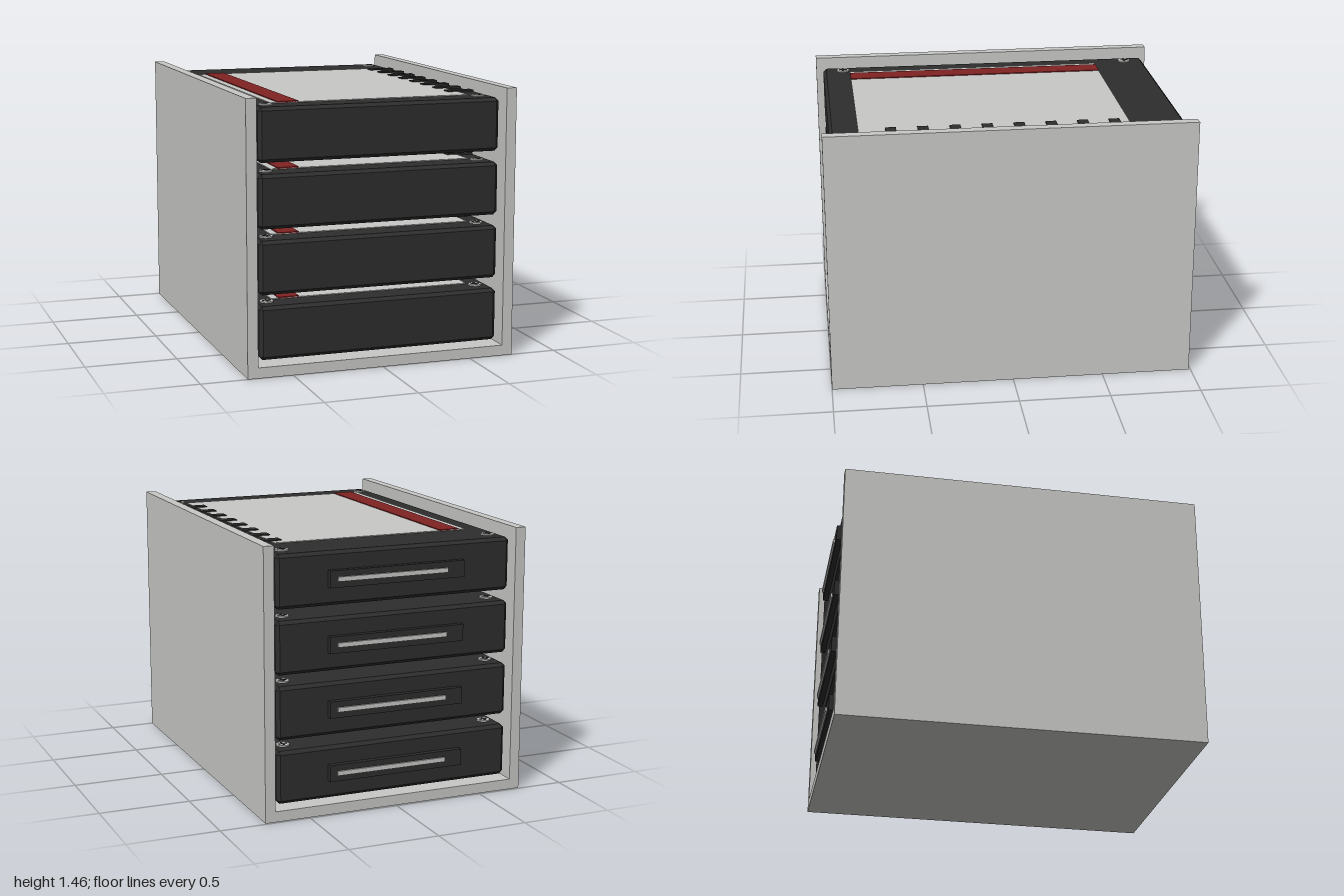
import * as THREE from 'three';

const material = (name, color) => {
  const m = new THREE.MeshStandardMaterial({ color });
  m.name = name;
  return m;
};

export function createModel() {
  const grey = material('light grey', 0xc8c8c6);
  const black = material('charcoal', 0x2d2d2d);
  const red = material('dark red', 0x802222);

  const add = (parent, name, geometry, mat, x, y, z) => {
    const mesh = new THREE.Mesh(geometry, mat);
    mesh.name = name;
    mesh.position.set(x, y, z);
    parent.add(mesh);
    return mesh;
  };
  // Box given by its minimum and maximum on each axis
  const box = (parent, name, mat, [x0, x1], [y0, y1], [z0, z1]) =>
    add(parent, name, new THREE.BoxGeometry(x1 - x0, y1 - y0, z1 - z0), mat,
      (x0 + x1) / 2, (y0 + y1) / 2, (z0 + z1) / 2);

  // Box with every edge cut at 45 degrees, centred on the origin
  const chamferedBox = (w, h, d, c) => {
    const a = w / 2 - c, b = h / 2 - c;
    const shape = new THREE.Shape();
    shape.moveTo(-a, -b);
    shape.lineTo(a, -b);
    shape.lineTo(a, b);
    shape.lineTo(-a, b);
    shape.closePath();
    const g = new THREE.ExtrudeGeometry(shape, { depth: d - 2 * c, bevelEnabled: false });
    g.dispose();
    // Each face is inset by c; corners join them with bevel strips and triangles
    const half = [w / 2, h / 2, d / 2], pos = [];
    const point = (s, full) => s.map((v, i) => v * (half[i] - (i === full ? 0 : c)));
    const tri = (p, q, r) => {
      const [A, B, C] = [p, q, r].map(v => new THREE.Vector3(...v));
      const n = B.clone().sub(A).cross(C.clone().sub(A));
      const out = n.dot(A.clone().add(B).add(C)) > 0;
      pos.push(...p, ...(out ? q : r), ...(out ? r : q));
    };
    const quad = (p, q, r, s) => { tri(p, q, r); tri(p, r, s); };
    for (let i = 0; i < 3; i++) {
      const j = (i + 1) % 3, k = (i + 2) % 3;
      const sign = (u, v, t) => { const s = []; s[i] = u; s[j] = v; s[k] = t; return s; };
      for (const u of [-1, 1]) {
        quad(...[[-1, -1], [1, -1], [1, 1], [-1, 1]].map(([v, t]) => point(sign(u, v, t), i)));
        for (const v of [-1, 1]) {
          const lo = sign(u, v, -1), hi = sign(u, v, 1);
          quad(point(lo, i), point(hi, i), point(hi, j), point(lo, j));
        }
      }
    }
    for (const x of [-1, 1]) for (const y of [-1, 1]) for (const z of [-1, 1])
      tri(...[0, 1, 2].map(i => point([x, y, z], i)));
    const geometry = new THREE.BufferGeometry();
    geometry.setAttribute('position', new THREE.Float32BufferAttribute(pos, 3));
    geometry.computeVertexNormals();
    return geometry;
  };

  const model = new THREE.Group();
  model.name = 'driveRack';

  // Open U-shaped case
  const caseGroup = new THREE.Group();
  caseGroup.name = 'case';
  model.add(caseGroup);
  const depth = [-0.99, 1];
  box(caseGroup, 'floor', grey, [-0.69, 0.69], [0, 0.057], depth);
  box(caseGroup, 'leftWall', grey, [0.69, 0.747], [0, 1.46], depth);
  box(caseGroup, 'rightWall', grey, [-0.747, -0.69], [0, 1.46], depth);

  const bodyGeometry = chamferedBox(1.336, 0.286, 1.92, 0.018);
  const screwGeometry = new THREE.CylinderGeometry(0.036, 0.036, 0.012, 24);

  // Drive unit with its origin at the middle of the body
  const makeDrive = () => {
    const drive = new THREE.Group();
    drive.name = 'drive';
    const top = 0.143;
    add(drive, 'body', bodyGeometry, black, 0, 0, 0);
    box(drive, 'label', grey, [-0.56, 0.555], [top - 0.002, top + 0.004], [-0.655, 0.805]);
    box(drive, 'labelStripe', red, [-0.52, -0.405], [top + 0.002, top + 0.009], [-0.655, 0.805]);

    // Row of ribs along the left edge
    for (let i = 0; i < 8; i++) {
      const z = -0.575 + i * 0.1725;
      box(drive, 'rib', black, [0.497, 0.648], [top - 0.004, top + 0.01], [z - 0.029, z + 0.029]);
    }

    // Cross-head screws in the four corners
    for (const x of [-0.597, 0.592]) for (const z of [-0.843, 0.845]) {
      add(drive, 'screw', screwGeometry, grey, x, top + 0.001, z);
      const y = [top + 0.004, top + 0.009];
      box(drive, 'screwSlot', black, [x - 0.023, x + 0.023], y, [z - 0.005, z + 0.005]);
      box(drive, 'screwSlot', black, [x - 0.005, x + 0.005], y, [z - 0.023, z + 0.023]);
    }

    // Rear connector with its contact strip
    box(drive, 'connector', black, [-0.385, 0.382], [-0.045, 0.045], [-0.99, -0.95]);
    box(drive, 'contactStrip', grey, [-0.285, 0.342], [-0.012, 0.012], [-1, -0.985]);
    return drive;
  };

  // Stack of four drives
  for (let i = 0; i < 4; i++) {
    const drive = makeDrive();
    drive.position.y = 0.223 + i * 0.3463;
    model.add(drive);
  }
  return model;
}
